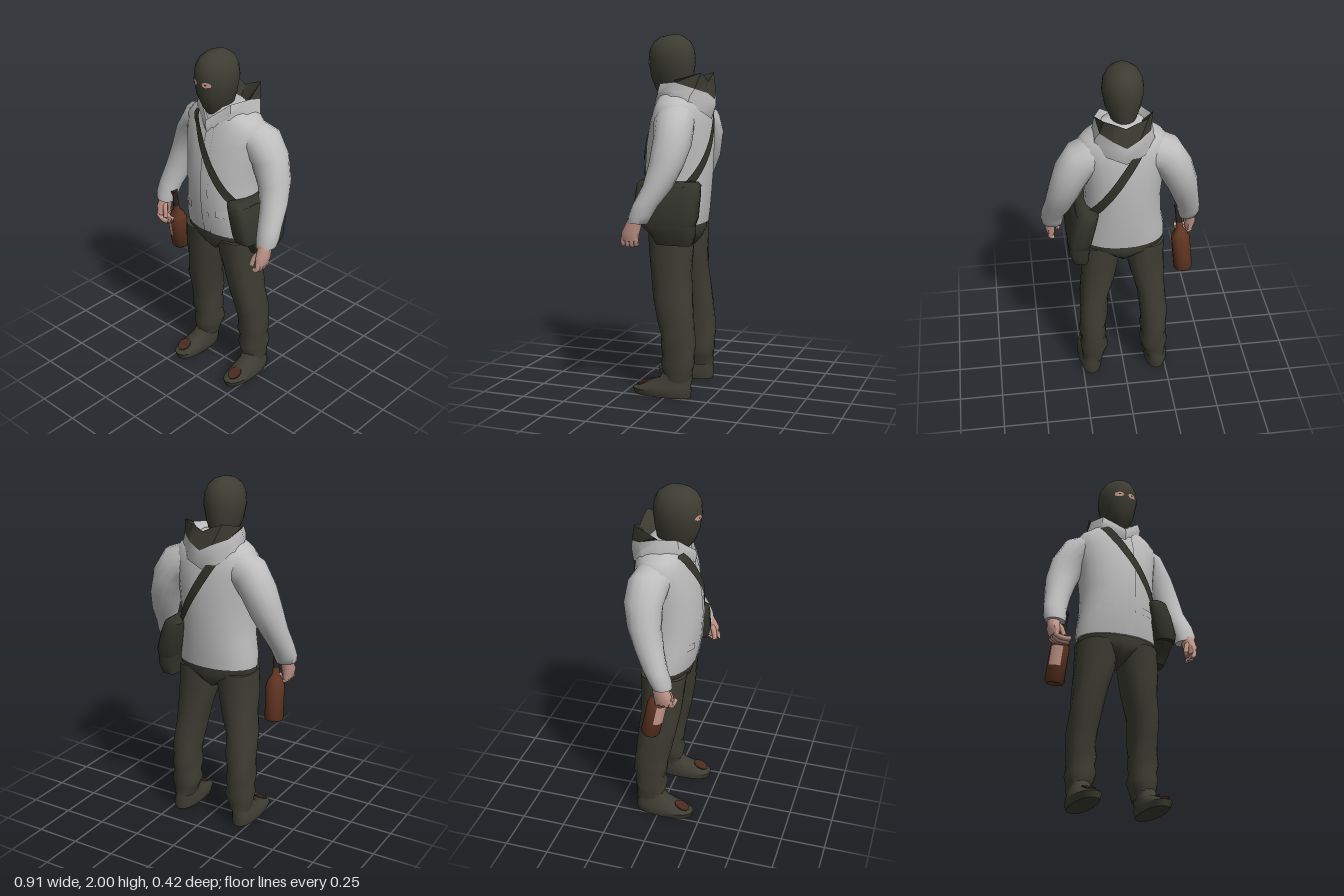
import * as THREE from 'three';
import { toCreasedNormals } from 'three/addons/utils/BufferGeometryUtils.js';

const mat = (name, color, side = THREE.FrontSide) => {
  const m = new THREE.MeshStandardMaterial({ color, side });
  m.name = name;
  return m;
};

// Superellipse coordinate: p = 1 is round, smaller is boxier
const pw = (v, p) => Math.sign(v) * Math.abs(v) ** p;

// Closed loft through rings [cx, y, cz, rx, rz, tilt], listed from bottom to top
function loft(rings, { sides = 16, p = 0.85, fold = 0, crease = 0.9 } = {}) {
  const pos = [], idx = [];
  rings.forEach(([cx, y, cz, rx, rz, tilt = 0]) => {
    for (let j = 0; j < sides; j++) {
      const t = (j / sides) * Math.PI * 2;
      const k = 1 + fold * Math.sin(3 * t + y * 23);
      const x = pw(Math.cos(t), p) * rx * k;
      pos.push(cx + x * Math.cos(tilt), y + x * Math.sin(tilt), cz + pw(Math.sin(t), p) * rz * k);
    }
  });
  for (let i = 0; i < rings.length - 1; i++)
    for (let j = 0; j < sides; j++) {
      const a = i * sides + j, b = i * sides + (j + 1) % sides;
      idx.push(a, a + sides, b, b, a + sides, b + sides);
    }
  const top = (rings.length - 1) * sides;
  for (let j = 1; j < sides - 1; j++) idx.push(0, j, j + 1, top, top + j + 1, top + j);
  return finish(pos, idx, crease);
}

// Open sheet through rows of points
function sheet(rows, crease = 0.7) {
  const n = rows[0].length, idx = [];
  for (let i = 0; i < rows.length - 1; i++)
    for (let j = 0; j < n - 1; j++) {
      const a = i * n + j;
      idx.push(a, a + n, a + 1, a + 1, a + n, a + n + 1);
    }
  return finish(rows.flat(2), idx, crease);
}

function finish(pos, idx, crease) {
  const g = new THREE.BufferGeometry();
  g.setAttribute('position', new THREE.Float32BufferAttribute(pos, 3));
  g.setIndex(idx);
  return toCreasedNormals(g, crease);
}

// Ring given by its back and front z
const band = (y, rx, back, front, cx = 0) => [cx, y, (back + front) / 2, rx, (front - back) / 2];
const flip = (rings, s) => rings.map(([x, y, z, rx, rz, t = 0]) => [s * x, y, z, rx, rz, s * t]);
const mirrorRow = (half) => [...half.slice(1).reverse().map(([x, y, z]) => [-x, y, z]), ...half];

const TORSO_P = 0.94;
const TORSO = [
  band(0.96, 0.236, -0.155, 0.152), band(1.03, 0.234, -0.165, 0.168), band(1.12, 0.218, -0.175, 0.18),
  band(1.25, 0.212, -0.186, 0.187), band(1.4, 0.225, -0.19, 0.174), band(1.52, 0.245, -0.183, 0.15),
  band(1.59, 0.25, -0.17, 0.128), band(1.635, 0.215, -0.155, 0.115), band(1.67, 0.16, -0.135, 0.105), band(1.71, 0.1, -0.1, 0.09),
];

// Depth of the jacket surface at x, y (s = 1 front, -1 back)
function torsoZ(x, y, s) {
  let i = 0;
  while (i < TORSO.length - 2 && TORSO[i + 1][1] < y) i++;
  const f = (y - TORSO[i][1]) / (TORSO[i + 1][1] - TORSO[i][1]);
  const [, , cz, rx, rz] = TORSO[i].map((v, k) => v + (TORSO[i + 1][k] - v) * f);
  const e = 2 / TORSO_P;
  return cz + s * rz * Math.max(0, 1 - Math.abs(x / rx) ** e) ** (1 / e);
}

export function createModel() {
  const cloth = mat('dark cloth', 0x3d3d33), grey = mat('jacket grey', 0xbebebe);
  const collarGrey = mat('collar grey', 0xbebebe, THREE.DoubleSide);
  const lining = mat('hood lining', 0x3a3a31, THREE.DoubleSide);
  const canvas = mat('bag canvas', 0x33342b, THREE.DoubleSide);
  const skin = mat('skin', 0xc4978a), glass = mat('brown glass', 0x5e3421);
  const leather = mat('boot leather', 0x4a2c20), dark = mat('near black', 0x2a2520);
  const model = new THREE.Group();
  const add = (name, geo, material, parent = model) => {
    const m = new THREE.Mesh(geo, material);
    m.name = name;
    parent.add(m);
    return m;
  };

  // Head in a knitted mask
  const HX = -0.01;
  add('maskedHead', loft([
    band(1.6, 0.05, -0.05, 0.07, HX), band(1.66, 0.052, -0.06, 0.11, HX), band(1.7, 0.068, -0.064, 0.14, HX),
    band(1.77, 0.096, -0.076, 0.168, HX), band(1.86, 0.113, -0.087, 0.18, HX), band(1.92, 0.106, -0.08, 0.174, HX),
    band(1.965, 0.082, -0.058, 0.15, HX), band(1.99, 0.05, -0.02, 0.11, HX), band(2, 0.02, 0.0, 0.06, HX),
  ], { sides: 20, p: 1, crease: 1.2 }), cloth);

  // Eye openings wrapped onto the face
  const wrapped = (cx, cy, rx, ry, lift) => {
    const g = new THREE.CircleGeometry(1, 12), a = g.attributes.position;
    for (let i = 0; i < a.count; i++) {
      const x = cx + a.getX(i) * rx, y = cy + a.getY(i) * ry;
      a.setXYZ(i, HX + x, y, 0.0465 + 0.132 * Math.sqrt(1 - (x / 0.11) ** 2) + lift);
    }
    g.computeVertexNormals();
    return g;
  };
  for (const s of [-1, 1]) {
    add('eyeOpening', wrapped(s * 0.039, 1.85, 0.025, 0.016, 0.004), skin);
    add('eye', wrapped(s * 0.037, 1.851, 0.006, 0.005, 0.006), dark);
  }

  // Jacket body, placket and pocket flaps
  add('jacketBody', loft(TORSO, { sides: 24, p: TORSO_P, crease: 1.2 }), grey);
  const onFront = (x, y) => [x, y, torsoZ(x, y, 1) + 0.006];
  const patch = (x0, x1, ys) => sheet(ys.map((y) => [0, 0.5, 1].map((k) => onFront(x0 + (x1 - x0) * k, y))));
  add('placket', patch(-0.005, 0.045, [0.97, 1.1, 1.25, 1.4, 1.52, 1.6]), collarGrey);
  for (const s of [-1, 1]) add('pocketFlap', patch(s * 0.09, s * 0.17, [1.09, 1.13]), collarGrey);

  // Collar running into the folded hood, one half listed from back to front
  const base = [[0, 1.54, -0.188], [0.1, 1.58, -0.172], [0.165, 1.62, -0.1], [0.165, 1.64, 0], [0.11, 1.62, 0.085], [0, 1.57, 0.142]];
  const bulge = [[0, 1.615, -0.212], [0.08, 1.64, -0.19], [0.155, 1.67, -0.115], [0.158, 1.695, -0.01], [0.12, 1.69, 0.085], [0, 1.61, 0.152]];
  const rim = [[0, 1.648, -0.205], [0.07, 1.685, -0.19], [0.135, 1.71, -0.135], [0.15, 1.745, -0.02], [0.11, 1.735, 0.075], [0, 1.64, 0.145]];
  const inner = [[0, 1.68, -0.125], [0.055, 1.685, -0.09], [0.098, 1.69, -0.035], [0.1, 1.68, 0.01], [0.08, 1.65, 0.06], [0, 1.6, 0.1]];
  const tip = [[0, 1.745, -0.168], [0.06, 1.775, -0.168], [0.115, 1.795, -0.162], [0.16, 1.758, -0.03]];
  add('hoodAndCollar', sheet([base, bulge, rim, inner].map(mirrorRow)), collarGrey);
  add('hoodLining', sheet([rim.slice(0, 4), tip, inner.slice(0, 4)].map(mirrorRow)), lining);

  // Trousers
  add('trouserSeat', loft([
    band(0.825, 0.02, -0.08, 0.085), band(0.87, 0.09, -0.122, 0.122), band(0.92, 0.228, -0.138, 0.138), band(0.99, 0.225, -0.135, 0.138),
  ], { sides: 20, crease: 1.2 }), cloth);

  for (const s of [-1, 1]) {
    const side = s > 0 ? 'left' : 'right';
    add(side + 'TrouserLeg', loft(flip([
      band(0.09, 0.06, -0.138, 0.02, 0.19), band(0.14, 0.068, -0.14, 0.025, 0.185), band(0.19, 0.082, -0.154, 0.038, 0.18),
      band(0.24, 0.072, -0.148, 0.028, 0.182), band(0.29, 0.08, -0.155, 0.042, 0.182), band(0.35, 0.074, -0.15, 0.042, 0.183),
      band(0.43, 0.081, -0.147, 0.058, 0.178), band(0.55, 0.083, -0.132, 0.09, 0.168), band(0.68, 0.096, -0.12, 0.105, 0.146),
      band(0.8, 0.11, -0.12, 0.122, 0.13), band(0.93, 0.117, -0.125, 0.133, 0.12),
    ], s), { fold: 0.035 }), cloth);

    // Boots with a worn patch on the instep
    add(side + 'Boot', loft(flip([
      band(0, 0.064, -0.138, 0.195, 0.198), band(0.035, 0.074, -0.142, 0.205, 0.2), band(0.062, 0.064, -0.14, 0.15, 0.198),
      band(0.1, 0.056, -0.138, 0.05, 0.192), band(0.15, 0.052, -0.13, 0.02, 0.188),
    ], s)), cloth);
    const toe = add(side + 'BootPatch', new THREE.CylinderGeometry(0.032, 0.032, 0.008, 10), leather);
    toe.position.set(s * 0.207, 0.067, 0.138);
    toe.rotation.x = 0.4;
    toe.scale.set(1.15, 1, 1.4);

    // Sleeves and cuffs, the right one held slightly further back
    const dz = s > 0 ? 0.01 : -0.01;
    add(side + 'Sleeve', loft(flip([
      [0.39, 1.0, 0.085 + dz, 0.056, 0.054, 0.1], [0.39, 1.04, 0.072 + dz, 0.064, 0.062, 0.1], [0.382, 1.1, 0.046 + dz, 0.066, 0.068, 0.15],
      [0.355, 1.2, -0.005, 0.074, 0.08, 0.2], [0.324, 1.31, -0.042, 0.088, 0.092, 0.25], [0.28, 1.43, -0.058, 0.1, 0.104, 0.4],
      [0.225, 1.515, -0.05, 0.105, 0.112, 0.85], [0.14, 1.54, -0.03, 0.105, 0.11, 1.25],
    ], s), { fold: 0.02, p: 0.95, crease: 1.2 }), grey);

    // Hands: palm, four bent fingers and a thumb; the right hand closes on the bottle
    const hand = new THREE.Group();
    hand.name = side + 'Hand';
    hand.position.z = s > 0 ? 0.015 : -0.035;
    model.add(hand);
    add('palm', loft(flip([
      [0.398, 0.905, 0.122, 0.022, 0.048], [0.402, 0.955, 0.117, 0.033, 0.05], [0.395, 1.03, 0.09, 0.036, 0.038],
    ], s), { sides: 10 }), skin, hand);
    const curl = s > 0 ? 0.022 : 0.08;
    const finger = (name, pts, r) => add(name, new THREE.TubeGeometry(
      new THREE.CatmullRomCurve3(pts.map(([x, y, z]) => new THREE.Vector3(s * x, y, z))), 4, r, 6), skin, hand);
    for (let i = 0; i < 4; i++) {
      const z = 0.084 + i * 0.025, low = 0.874 + Math.abs(i - 1.6) * 0.007;
      finger('finger', [[0.4, 0.93, z], [0.404, 0.9, z + 0.004], [0.402 - curl * 0.5, low, z + 0.006], [0.4 - curl, low + 0.002, z + 0.006]], 0.014);
    }
    finger('thumb', [[0.39, 0.985, 0.12], [0.366, 0.95, 0.145], [0.354, 0.9, 0.155]], 0.015);
  }

  // Bottle hanging from the right hand by its dark neck, with a pale label on the outer front
  const bottle = new THREE.Group();
  bottle.name = 'bottle';
  bottle.position.set(-0.36, 0.668, -0.005);
  bottle.rotation.set(0.19, 0, -0.075);
  model.add(bottle);
  const turned = (profile) => toCreasedNormals(
    new THREE.LatheGeometry(profile.map(([x, y]) => new THREE.Vector2(x, y)), 14), 0.8);
  add('bottleBody', turned([[0, 0], [0.045, 0], [0.054, 0.012], [0.054, 0.2], [0.045, 0.228], [0.022, 0.262], [0.018, 0.3]]), glass, bottle);
  add('bottleNeck', turned([[0.018, 0.3], [0.017, 0.39], [0.02, 0.392], [0.02, 0.41], [0, 0.41]]), dark, bottle);
  add('bottleLabel', new THREE.CylinderGeometry(0.0565, 0.0565, 0.11, 6, 1, true, -1.3, 1.3), skin, bottle)
    .position.y = 0.148;

  // Shoulder bag with an overlapping flap
  add('bagBody', loft([
    [0.248, 0.872, -0.06, 0.045, 0.1], [0.256, 0.93, -0.055, 0.058, 0.125], [0.252, 1.0, -0.01, 0.066, 0.165], [0.21, 1.19, -0.01, 0.058, 0.17],
  ], { p: 0.5 }), canvas);
  add('bagFlap', loft([
    [0.256, 0.98, -0.012, 0.062, 0.168], [0.25, 1.02, -0.012, 0.072, 0.18], [0.222, 1.13, -0.012, 0.07, 0.182],
    [0.202, 1.195, -0.012, 0.062, 0.18], [0.196, 1.212, -0.012, 0.04, 0.165],
  ], { p: 0.5 }), canvas);

  // Strap lying on the chest, over the right shoulder and down the back
  const V = (x, y, z) => new THREE.Vector3(x, y, z);
  const path = [];
  for (let i = 0; i <= 8; i++) {
    const k = i / 8, x = 0.18 - 0.285 * k, y = 1.19 + 0.45 * k;
    path.push(V(x, y, torsoZ(x, y, 1) + 0.009));
  }
  path.push(V(-0.125, 1.69, 0.0));
  for (let i = 0; i <= 8; i++) {
    const k = i / 8, x = -0.1 + 0.28 * k, y = 1.64 - 0.45 * k;
    path.push(V(x, y, torsoZ(x, y, -1) - 0.009));
  }
  const curve = new THREE.CatmullRomCurve3(path);
  const rows = Array.from({ length: 41 }, (_, i) => {
    const c = curve.getPoint(i / 40), t = curve.getTangent(i / 40);
    const out = V(c.x * 0.6, c.y > 1.6 ? (c.y - 1.6) * 2 : 0, c.z).normalize();
    const w = t.cross(out).normalize().multiplyScalar(0.024);
    return [-1, 0, 1].map((k) => c.clone().addScaledVector(w, k).toArray());
  });
  add('bagStrap', sheet(rows, 0.9), canvas);

  return model;
}
